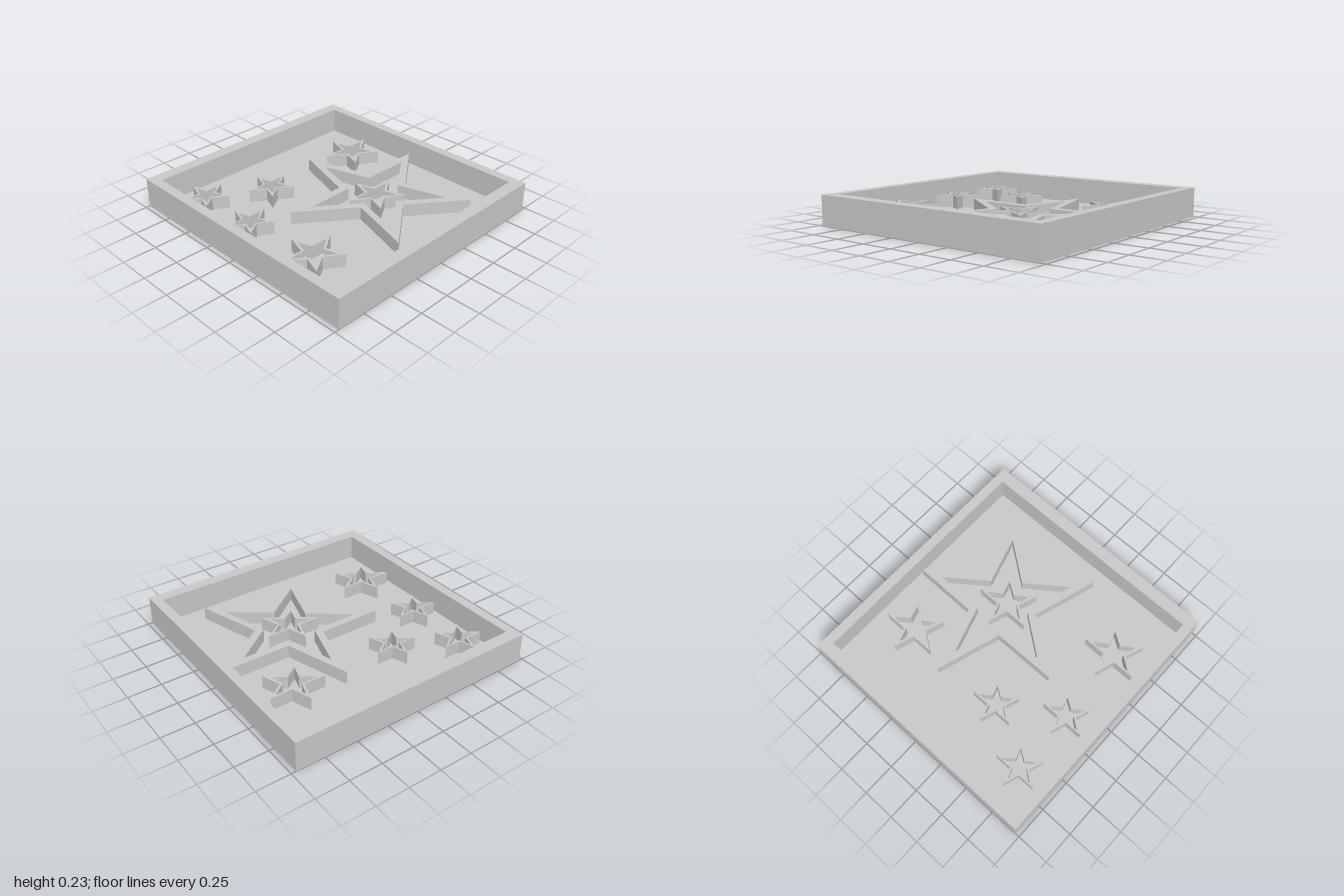
import * as THREE from 'three';

const FLOOR = 0.03, STAR_TOP = 0.13, RIM_TOP = 0.228;

// Half outlines [x, z] from the upper tip to the lower notch, mirrored into a full star
const SMALL_OUTER = [[0, 0], [0.23, 0.69], [1, 0.69], [0.39, 1.12], [0.62, 1.77], [0, 1.38]];
const SMALL_INNER = [[0, 0.27], [0.17, 0.75], [0.76, 0.76], [0.3, 1.1], [0.44, 1.57], [0, 1.28]];
const LARGE_OUTER = [[0, -0.526], [0.153, -0.031], [0.645, -0.028], [0.245, 0.276], [0.397, 0.769], [0, 0.466]];
const LARGE_INNER = [[0, -0.34], [0.113, 0.024], [0.481, 0.028], [0.185, 0.252], [0.297, 0.62], [0, 0.398]];

function starPoints(half) {
  const mirrored = half.slice(1, -1).reverse().map(([x, z]) => [-x, z]);
  return [...half, ...mirrored].map(([x, z]) => new THREE.Vector2(x, -z));
}

function rectPoints(x0, x1, z0, z1) {
  return [[x0, z0], [x1, z0], [x1, z1], [x0, z1]].map(([x, z]) => new THREE.Vector2(x, -z));
}

// Upright wall that follows an outline, open in the middle;
// the opening winds the other way so that its sides face inwards
function wallGeometry(outer, inner, y0, y1) {
  const shape = new THREE.Shape(outer);
  shape.holes.push(new THREE.Path(inner.reverse()));
  const geometry = new THREE.ExtrudeGeometry(shape, { depth: y1 - y0, bevelEnabled: false });
  return geometry.rotateX(-Math.PI / 2).translate(0, y0, 0);
}

export function createModel() {
  const model = new THREE.Group();
  model.name = 'starTray';
  const grey = new THREE.MeshStandardMaterial({ color: 0xc8c8c8 });
  grey.name = 'grey';

  const add = (name, geometry) => {
    const mesh = new THREE.Mesh(geometry, grey);
    mesh.name = name;
    model.add(mesh);
    return mesh;
  };

  // Tray
  add('rim', wallGeometry(
    rectPoints(-0.965, 0.965, -1, 1),
    rectPoints(-0.892, 0.892, -0.907, 0.907), 0, RIM_TOP));
  add('floor', new THREE.BoxGeometry(1.784, FLOOR, 1.814).translate(0, FLOOR / 2, 0));

  // Large hollow star
  const large = wallGeometry(starPoints(LARGE_OUTER), starPoints(LARGE_INNER), FLOOR, STAR_TOP);
  add('largeStar', large).position.x = 0.228;

  // Small hollow stars: x, z of the upper tip, half width
  const small = wallGeometry(starPoints(SMALL_OUTER), starPoints(SMALL_INNER), FLOOR, STAR_TOP);
  [
    [-0.688, -0.82, 0.171],
    [-0.256, -0.591, 0.171],
    [-0.688, -0.318, 0.171],
    [0.585, -0.614, 0.219],
    [-0.641, 0.227, 0.219],
    [0.21, 0, 0.219],
  ].forEach(([x, z, size], i) => {
    const star = add('smallStar' + (i + 1), small);
    star.position.set(x, 0, z);
    star.scale.set(size, 1, size);
  });

  return model;
}
